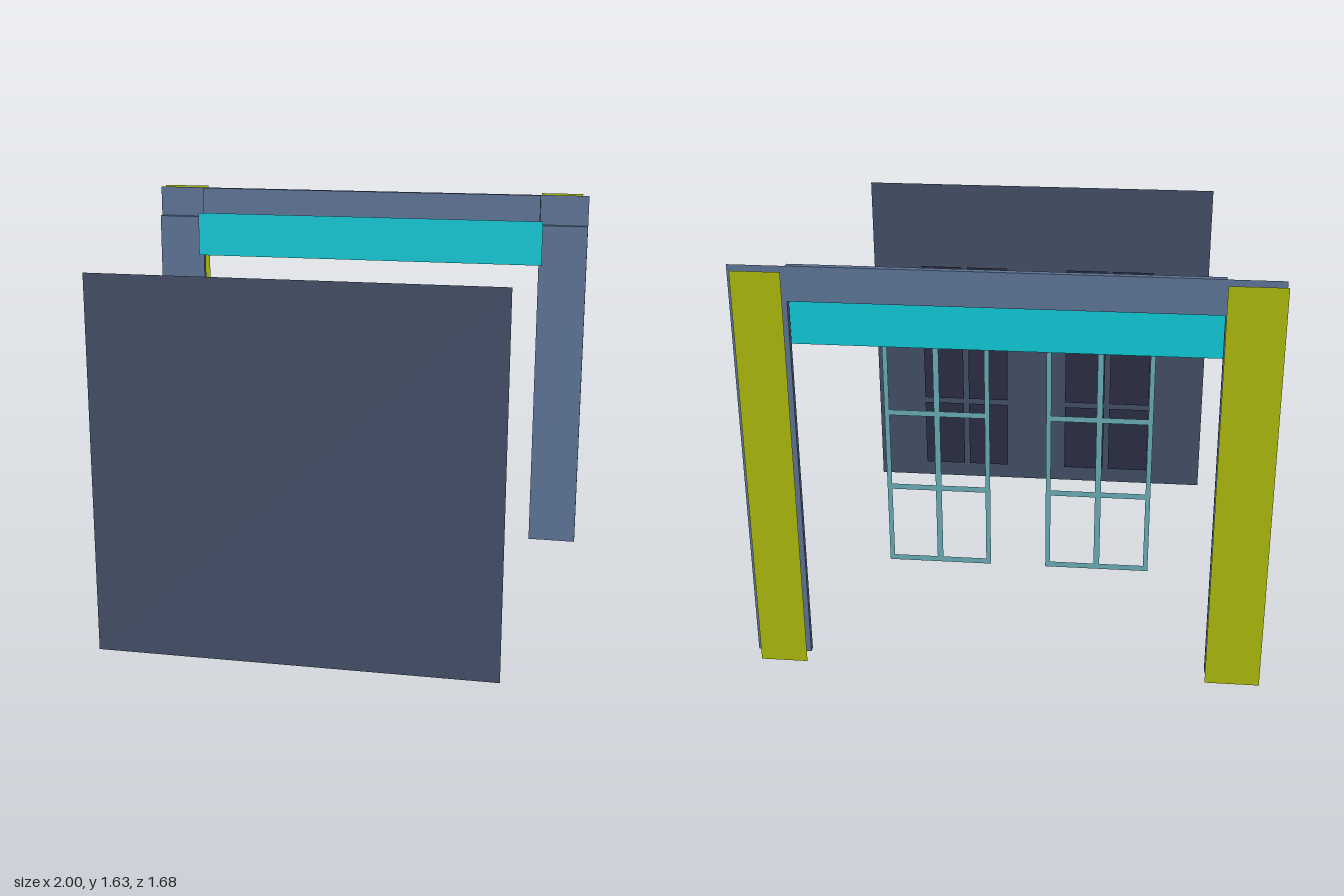
import * as THREE from 'three';

const mat = (color) => new THREE.MeshStandardMaterial({ color, side: THREE.DoubleSide });
const MATS = {
  frame: mat(0x5a7092),
  panel: mat(0x414c63),
  pane: mat(0x292c40),
  trim: mat(0x66a8b2),
  valance: mat(0x0cc4d0),
  backing: mat(0xa8b40c),
};

function add(parent, name, geometry, material) {
  const mesh = new THREE.Mesh(geometry, material);
  mesh.name = name;
  parent.add(mesh);
  return mesh;
}

// Flat upright sheet between two corners
function sheet(parent, name, x0, x1, y0, y1, z, material) {
  const geo = new THREE.PlaneGeometry(x1 - x0, y1 - y0);
  geo.translate((x0 + x1) / 2, (y0 + y1) / 2, z);
  return add(parent, name, geo, material);
}

// Solid block between two corners
function block(parent, name, x0, x1, y0, y1, z0, z1, material) {
  const geo = new THREE.BoxGeometry(x1 - x0, y1 - y0, z1 - z0);
  geo.translate((x0 + x1) / 2, (y0 + y1) / 2, (z0 + z1) / 2);
  return add(parent, name, geo, material);
}

// Lower-left corners and size of the six openings, relative to the window centre
const PANE_W = 0.19, PANE_H = 0.325, BAR = 0.025;
function paneRects(cx) {
  const rects = [];
  for (let row = 0; row < 3; row++) {
    const y = 0.085 + row * (PANE_H + BAR);
    for (const x of [cx - BAR / 2 - PANE_W, cx + BAR / 2]) rects.push([x, x + PANE_W, y, y + PANE_H]);
  }
  return rects;
}

// Arched window trim with six openings
function windowTrim(cx) {
  const h = 0.223, shape = new THREE.Shape();
  shape.moveTo(cx - h, 0.06);
  shape.lineTo(cx + h, 0.06);
  shape.lineTo(cx + h, 1.19);
  shape.quadraticCurveTo(cx, 1.29, cx - h, 1.19);
  shape.closePath();
  for (const [x0, x1, y0, y1] of paneRects(cx)) {
    const hole = new THREE.Path();
    hole.moveTo(x0, y0);
    hole.lineTo(x0, y1);
    hole.lineTo(x1, y1);
    hole.lineTo(x1, y0);
    hole.closePath();
    shape.holes.push(hole);
  }
  return new THREE.ShapeGeometry(shape, 8);
}

export function createModel() {
  const model = new THREE.Group();
  model.name = 'doorwayLayers';
  const back = -0.77, front = -0.745;

  // Surrounding frame: two posts, header and thin corner plates
  const frame = new THREE.Group();
  frame.name = 'doorFrame';
  model.add(frame);
  block(frame, 'rightPost', -1, -0.79, 0, 1.5, back, front, MATS.frame);
  block(frame, 'leftPost', 0.785, 0.97, 0, 1.5, back, front, MATS.frame);
  block(frame, 'leftEdgeStrip', 0.97, 1, 0, 1.5, back, front, MATS.frame);
  block(frame, 'header', -0.79, 0.785, 1.5, 1.635, back, front, MATS.frame);
  sheet(frame, 'rightCorner', -1, -0.79, 1.5, 1.635, back, MATS.frame);
  sheet(frame, 'leftCorner', 0.785, 1, 1.5, 1.635, back, MATS.frame);

  // Sheets behind the posts and the band across the opening
  sheet(model, 'rightBacking', -1, -0.79, 0, 1.635, -0.84, MATS.backing);
  sheet(model, 'leftBacking', 0.785, 0.97, 0, 1.635, -0.84, MATS.backing);
  sheet(model, 'valance', -0.81, 0.8, 1.32, 1.52, -0.73, MATS.valance);

  // Front panel
  sheet(model, 'doorPanel', -0.79, 0.785, 0, 1.5, 0.84, MATS.panel);

  // Window trims and the panes behind the front panel
  for (const [side, cx] of [['left', 0.353], ['right', -0.332]]) {
    add(model, side + 'WindowTrim', windowTrim(cx), MATS.trim).position.z = -0.115;
    const panes = new THREE.Group();
    panes.name = side + 'WindowPanes';
    model.add(panes);
    for (const [x0, x1, y0, y1] of paneRects(cx)) sheet(panes, 'pane', x0, x1, y0, y1, 0.81, MATS.pane);
  }
  return model;
}
